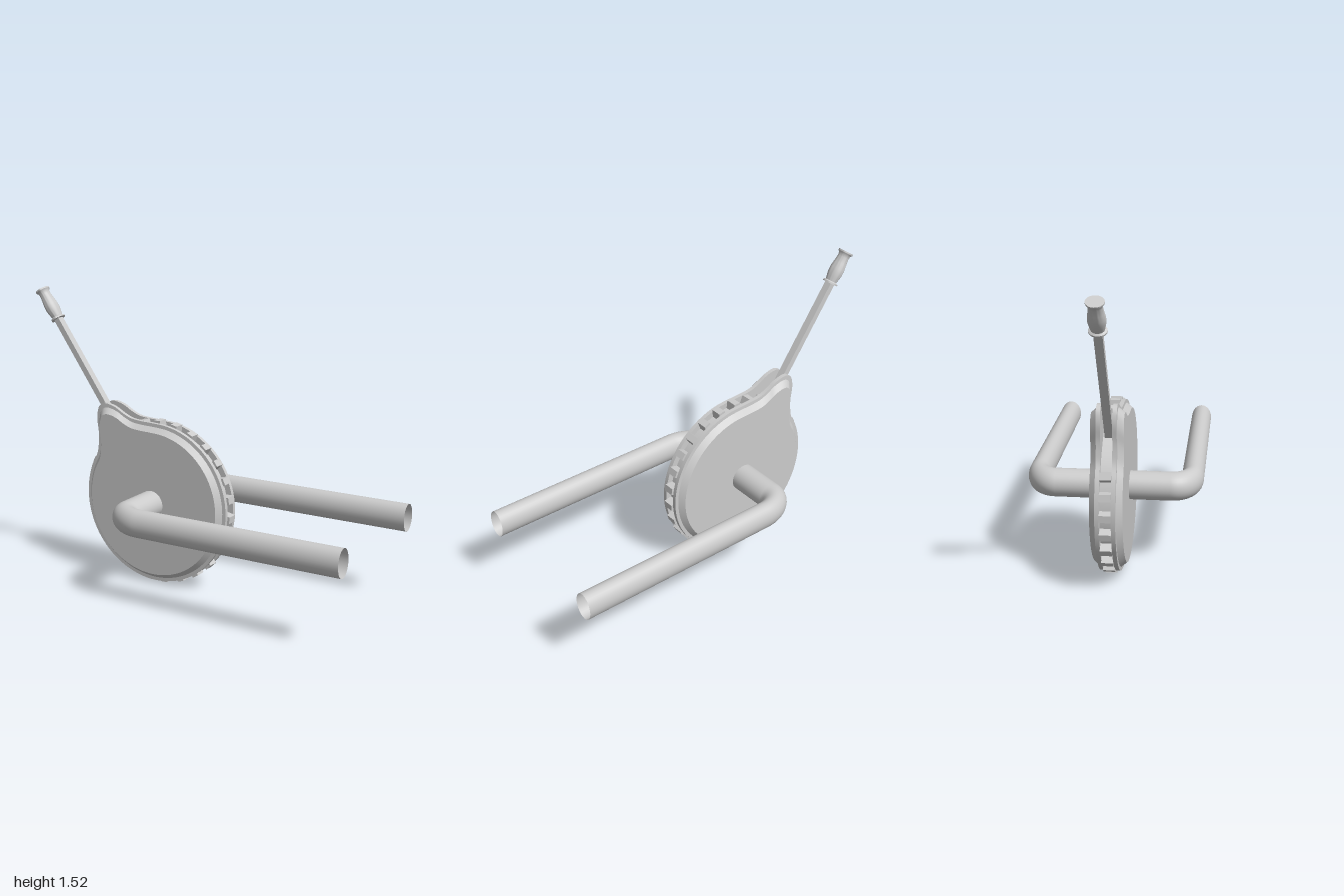
import * as THREE from 'three';
import { toCreasedNormals } from 'three/addons/utils/BufferGeometryUtils.js';

const CX = -0.225, CY = 0.442, R = 0.426; // wheel centre and radius
const V3 = (x, y, z) => new THREE.Vector3(x, y, z);

// Wheel outline around its centre: a circle with a pointed crest at the upper left
function wheelOutline() {
  const pts = [];
  for (let i = 0; i <= 30; i++) {
    const a = THREE.MathUtils.degToRad(148 + (i / 30) * (450 - 148));
    pts.push(V3(R * Math.cos(a), R * Math.sin(a), 0));
  }
  const crest = [[-0.31, 0.872], [-0.37, 0.88], [-0.42, 0.901], [-0.47, 0.928], [-0.535, 0.941],
    [-0.567, 0.925], [-0.584, 0.865], [-0.575, 0.775], [-0.577, 0.72]];
  crest.forEach(([x, y]) => pts.push(V3(x - CX, y - CY, 0)));
  return new THREE.CatmullRomCurve3(pts, true).getPoints(159).slice(0, -1);
}

// Joins copies of an outline, each given by a scale and a depth
function loftOutline(outline, profile) {
  const n = outline.length, pos = [], idx = [];
  profile.forEach(([s, z]) => outline.forEach(p => pos.push(p.x * s, p.y * s, z)));
  for (let j = 0; j < profile.length - 1; j++) {
    for (let i = 0; i < n; i++) {
      const k = (i + 1) % n;
      const a = j * n + i, b = j * n + k, c = a + n, d = b + n;
      if (profile[j][0] > 0) idx.push(a, b, d);
      if (profile[j + 1][0] > 0) idx.push(a, d, c);
    }
  }
  const g = new THREE.BufferGeometry();
  g.setAttribute('position', new THREE.Float32BufferAttribute(pos, 3));
  g.setIndex(idx);
  return toCreasedNormals(g, 0.5);
}

export function createModel() {
  const model = new THREE.Group();
  const mat = new THREE.MeshStandardMaterial({ color: 0xcccccc });
  const open = new THREE.MeshStandardMaterial({ color: 0xcccccc, side: THREE.DoubleSide });
  const add = (parent, name, geometry, material = mat) => {
    const m = new THREE.Mesh(geometry, material);
    m.name = name;
    parent.add(m);
    return m;
  };

  const wheel = new THREE.Group();
  wheel.name = 'wheel';
  wheel.position.set(CX, CY, 0.006);
  model.add(wheel);

  // Two side plates with a flat lip and a bevelled edge
  const outline = wheelOutline();
  const profile = [[0, 0.028], [1, 0.028], [1, 0.049], [0.957, 0.05], [0.9, 0.079], [0, 0.079]];
  add(wheel, 'frontPlate', loftOutline(outline, profile));
  add(wheel, 'backPlate', loftOutline(outline, profile.map(([s, z]) => [s, -z]).reverse()));

  // Hub between the plates
  add(wheel, 'hub', new THREE.CylinderGeometry(0.395, 0.395, 0.058, 64).rotateX(Math.PI / 2));

  // Tapered teeth around the rim, left out at the crest
  const tooth = new THREE.BoxGeometry(0.05, 0.055, 0.057);
  const tp = tooth.attributes.position;
  for (let i = 0; i < tp.count; i++) if (tp.getY(i) > 0) tp.setX(i, tp.getX(i) * 0.7);
  tooth.computeVertexNormals();
  const teeth = new THREE.Group();
  teeth.name = 'teeth';
  wheel.add(teeth);
  for (let i = 0; i < 27; i++) {
    const deg = -4 + (i * 360) / 27;
    if (deg > 118 && deg < 145) continue;
    const a = THREE.MathUtils.degToRad(deg);
    const t = add(teeth, 'tooth', tooth);
    t.position.set(0.41 * Math.cos(a), 0.41 * Math.sin(a), 0);
    t.rotation.z = a - Math.PI / 2;
  }

  // Lever from the hub out through the crest, with a turned grip
  const lever = new THREE.Group();
  lever.name = 'lever';
  lever.rotation.z = Math.atan2(0.732, 1.052);
  wheel.add(lever);
  add(lever, 'leverRod', new THREE.BoxGeometry(0.032, 1.13, 0.04).translate(0, 0.565, 0));
  const gripProfile = [[0, 0], [0.036, 0], [0.036, 0.008], [0.027, 0.014], [0.031, 0.035],
    [0.035, 0.06], [0.035, 0.085], [0.031, 0.115], [0.027, 0.15], [0.029, 0.165],
    [0.036, 0.174], [0.036, 0.182], [0, 0.182]].map(([x, y]) => new THREE.Vector2(x, y));
  const grip = add(lever, 'grip', toCreasedNormals(new THREE.LatheGeometry(gripProfile, 32), 0.6));
  grip.position.y = 1.113;
  grip.scale.z = 1.17;

  // Hollow U-shaped fork through the wheel, flattened in depth
  const flat = 0.78, zArm = 0.39 / flat, xBar = -0.23, bend = 0.13, k = bend * 0.448;
  const path = new THREE.CurvePath();
  path.add(new THREE.LineCurve3(V3(1, 0, -zArm), V3(xBar + bend, 0, -zArm)));
  path.add(new THREE.CubicBezierCurve3(V3(xBar + bend, 0, -zArm), V3(xBar + k, 0, -zArm),
    V3(xBar, 0, -zArm + k), V3(xBar, 0, -zArm + bend)));
  path.add(new THREE.LineCurve3(V3(xBar, 0, -zArm + bend), V3(xBar, 0, zArm - bend)));
  path.add(new THREE.CubicBezierCurve3(V3(xBar, 0, zArm - bend), V3(xBar, 0, zArm - k),
    V3(xBar + k, 0, zArm), V3(xBar + bend, 0, zArm)));
  path.add(new THREE.LineCurve3(V3(xBar + bend, 0, zArm), V3(1, 0, zArm)));
  const fork = add(model, 'fork', new THREE.TubeGeometry(path, 200, 0.072, 32, false), open);
  fork.position.y = 0.443;
  fork.scale.z = flat;

  return model;
}
